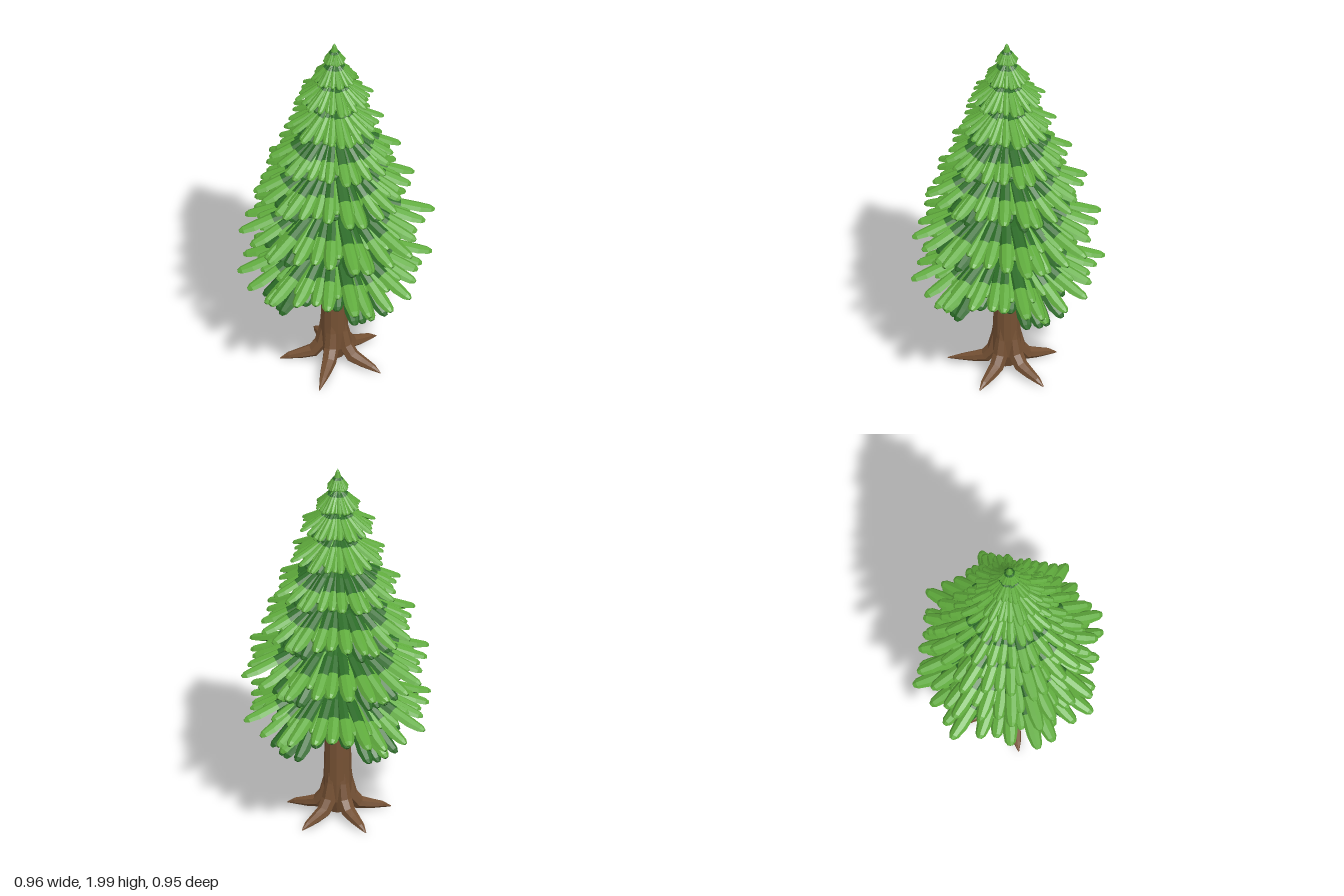
import * as THREE from 'three';

const material = (name, color) => {
  const m = new THREE.MeshStandardMaterial({ color, flatShading: true });
  m.name = name;
  return m;
};

// Sweeps a cross-section along a path in the (radius, y) plane.
// path rows: [radius, y, half width, half height]; section rows: [side, up].
// isTop(segment, side) picks material group 0 (true) or 1 (false).
function sweep(path, section, isTop = () => true) {
  const rings = path.map(([r, y, w, h], j) => {
    const a = path[Math.max(j - 1, 0)], b = path[Math.min(j + 1, path.length - 1)];
    const len = Math.hypot(b[0] - a[0], b[1] - a[1]);
    const tx = (b[0] - a[0]) / len, ty = (b[1] - a[1]) / len;
    return section.map(([s, u]) => [r - ty * u * h, y + tx * u * h, s * w]);
  });
  const faces = [[], []];
  for (let j = 0; j < rings.length - 1; j++) {
    for (let k = 0; k < section.length; k++) {
      const n = (k + 1) % section.length;
      const a = rings[j][k], b = rings[j][n], c = rings[j + 1][n], d = rings[j + 1][k];
      faces[isTop(j, k) ? 0 : 1].push(...a, ...b, ...c, ...a, ...c, ...d);
    }
  }
  const geometry = new THREE.BufferGeometry();
  geometry.setAttribute('position', new THREE.Float32BufferAttribute(faces.flat(), 3));
  geometry.addGroup(0, faces[0].length / 3, 0);
  geometry.addGroup(faces[0].length / 3, faces[1].length / 3, 1);
  geometry.computeVertexNormals();
  return geometry;
}

// Ridged leaf section, starting at the ridge; sides 0, 1, 4 and 5 face up
const leafSection = [[0, 1], [0.65, 0.6], [1, -0.2], [0, -0.9], [-1, -0.2], [-0.65, 0.6]];
const roundSection = Array.from({ length: 7 }, (_, i) => {
  const a = (i / 7) * Math.PI * 2;
  return [Math.sin(a), Math.cos(a)];
});

// Arched frond: dark near the trunk and below, light on top
function frond(reach, topY, tipY, width, darkSegments) {
  const rows = [
    [0.04, 1, 0.5], [0.2, 0.94, 0.75], [0.42, 0.7, 0.95], [0.65, 0.37, 1.03],
    [0.85, 0.12, 1.03], [0.96, 0.02, 0.76], [1, -0.02, 0.35], [1.003, -0.02, 0],
  ];
  const path = rows.map(([t, f, w]) => [reach * t, tipY + (topY - tipY) * f, width * w, width * 0.65 * w]);
  return sweep(path, leafSection, (j, k) => j >= darkSegments && (k < 2 || k > 3));
}

export function createModel() {
  const tree = new THREE.Group();
  tree.name = 'conifer';
  const bark = material('brown bark', 0x745033);
  const redBark = material('red brown bark', 0x71363a);
  const light = material('light green', 0x5fab3c);
  const dark = material('dark green', 0x2b6b26);

  let seed = 7;
  const random = () => (seed = (seed * 16807) % 2147483647) / 2147483647;
  const add = (parent, name, geometry, mat, degrees = 0) => {
    const mesh = new THREE.Mesh(geometry, mat);
    mesh.name = name;
    mesh.rotation.y = -THREE.MathUtils.degToRad(degrees);
    parent.add(mesh);
    return mesh;
  };

  // Trunk in two bark colours
  const lathe = (rows) => new THREE.LatheGeometry(rows.map(([r, y]) => new THREE.Vector2(r, y)), 12);
  add(tree, 'lowerTrunk', lathe([[0, 0.035], [0.05, 0.03], [0.074, 0.1], [0.074, 0.2], [0.07, 0.35], [0.064, 0.55], [0.058, 0.74]]), bark);
  add(tree, 'upperTrunk', lathe([[0.058, 0.74], [0.048, 1], [0.037, 1.3], [0.025, 1.6], [0.006, 1.93]]), redBark);

  // Five roots flaring out of the trunk
  [90, 18, 162, 234, 306].forEach((deg, i) => {
    const reach = i === 0 ? 0.31 : 0.28;
    const geometry = sweep([
      [0.045, 0.34, 0.014, 0.014], [0.05, 0.2, 0.032, 0.03], [0.068, 0.11, 0.04, 0.036],
      [0.11, 0.055, 0.038, 0.036], [0.17, 0.04, 0.031, 0.027], [0.235, 0.027, 0.02, 0.017],
      [reach, 0.01, 0.003, 0.003], [reach + 0.002, 0.01, 0, 0],
    ], roundSection);
    add(tree, 'root', geometry, bark, deg);
  });

  // Fronds of one quarter: angle, reach share, share of the tier's drop
  const mainFronds = [
    [0, 0.94, 0], [10.5, 1.01, 0], [-10.5, 1.01, 0], [25, 1.12, 0.05], [-25, 1.12, 0.05],
    [37, 1.03, 0.4], [-37, 1.03, 0.4], [45, 0.84, 1],
  ];
  const upperFronds = [
    [5, 0.78, 0], [-5, 0.72, 0], [17, 0.86, 0], [-17, 0.86, 0],
    [31, 0.86, 0.15], [-31, 0.86, 0.15], [45, 0.74, 0.2],
  ];
  const underFronds = [
    [0, 0.64, 0.3], [15, 0.72, 0.45], [-15, 0.72, 0.45],
    [30, 0.82, 0.9], [-30, 0.82, 0.9], [41, 0.78, 1], [-41, 0.78, 1],
  ];

  // Tiers: reach, top, tip height, drop of the diagonal fronds, half width
  const tiers = [
    [0.46, 0.79, 0.63, 0.15, 0.037],
    [0.46, 1.04, 0.89, 0.1, 0.037],
    [0.385, 1.28, 1.13, 0.09, 0.034],
    [0.305, 1.465, 1.325, 0.05, 0.029],
    [0.23, 1.62, 1.51, 0.035, 0.023],
    [0.182, 1.77, 1.675, 0.03, 0.019],
    [0.108, 1.88, 1.79, 0.018, 0.014],
    [0.053, 1.96, 1.895, 0.01, 0.009],
  ];
  tiers.forEach(([reach, top, tip, drop, width], t) => {
    const tier = new THREE.Group();
    tier.name = 'branchTier';
    tree.add(tier);
    const darkSegments = t < 4 ? 3 : 2;
    // lift raises the tips towards the top of the tier
    const addFronds = (name, list, lift, w, segments, topColor) => {
      for (const [angle, share, low] of list) {
        const end = tip - drop * low;
        const tipY = end + (top - end) * lift;
        const geometry = frond(reach * share, top + lift * 0.03, tipY, w, segments);
        for (let q = 0; q < 4; q++) {
          const leaf = add(tier, name, geometry, [topColor, dark], q * 90 + angle + (random() - 0.5) * 4);
          const s = 0.97 + random() * 0.05;
          leaf.scale.set(s, 1, s);
        }
      }
    };
    addFronds('frond', mainFronds, 0, width, darkSegments, light);
    if (t < 7) addFronds('upperFrond', upperFronds, 0.15, width * 0.85, darkSegments - 1, light);
    if (t < 7) addFronds('underFrond', underFronds, -0.08, width, 0, dark);

    // Woody boughs beneath the fronds
    if (t < 6) {
      const y = top - 0.28 * reach - 0.06;
      const bough = sweep([
        [0.02, y - 0.07, 0.018, 0.018], [reach * 0.2, y - 0.025, 0.015, 0.015],
        [reach * 0.38, y, 0.01, 0.01], [reach * 0.6, tip + 0.03, 0, 0],
      ], roundSection);
      for (let i = 0; i < 8; i++) add(tier, 'bough', bough, t ? redBark : bark, i * 45);
    }
  });

  // Pointed crown
  add(tree, 'treetop', lathe([[0.03, 1.915], [0.02, 1.95], [0.009, 1.985], [0, 2]]), light);
  return tree;
}
